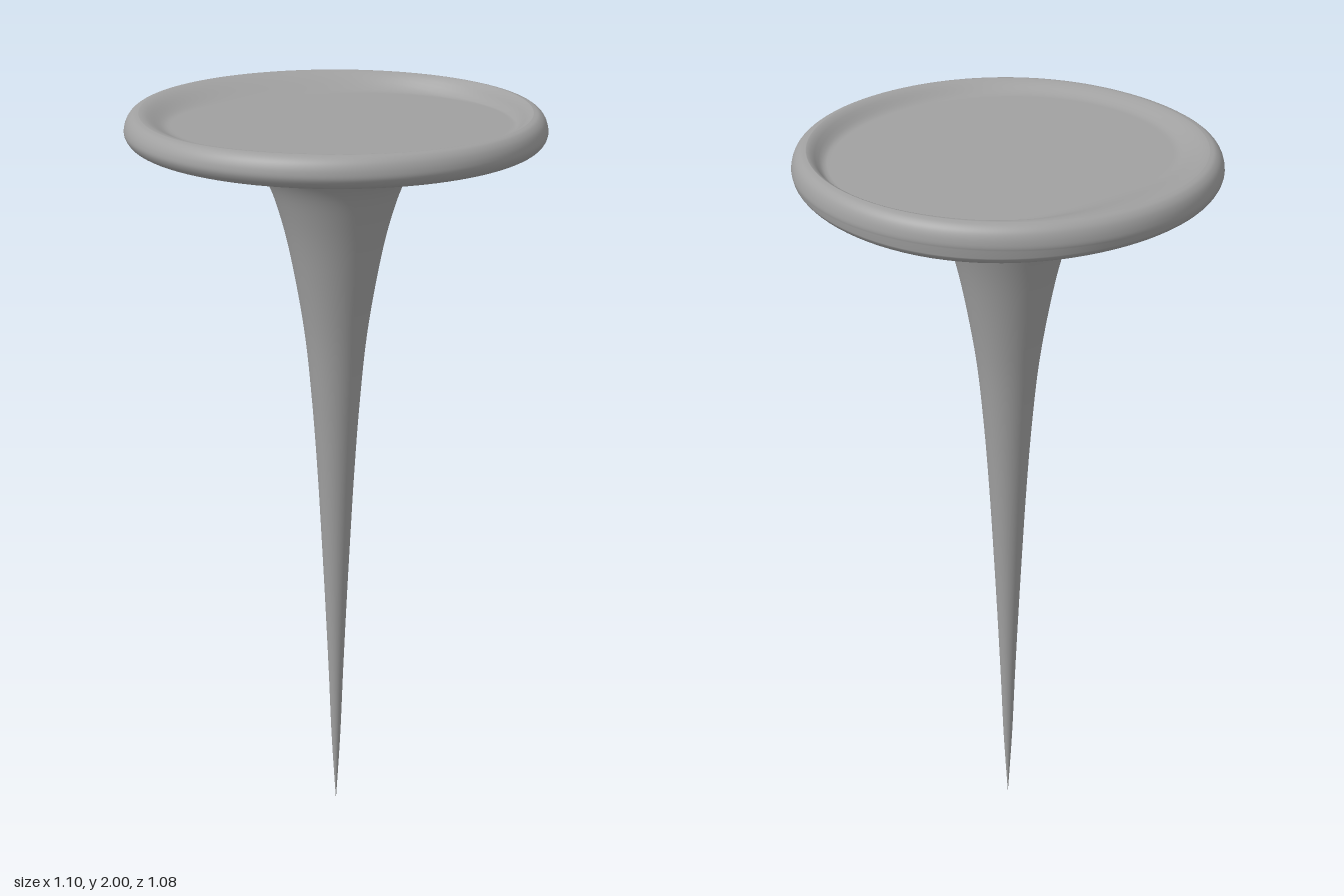
import * as THREE from 'three';
import { mergeVertices } from 'three/addons/utils/BufferGeometryUtils.js';

const smooth = (t) => THREE.MathUtils.smoothstep(t, 0, 1);
// Soft bump around a compass angle (radians, measured from +x towards +z)
const bump = (a, centre, sharpness) => Math.exp(sharpness * (Math.cos(a - centre) - 1));

function spikeAndHead() {
  // Tapering spike flaring into the underside and rounded edge of the head
  const flare = new THREE.SplineCurve([
    [0, 0], [0.012, 0.2], [0.02, 0.4], [0.029, 0.6], [0.039, 0.8], [0.05, 1],
    [0.064, 1.2], [0.084, 1.4], [0.118, 1.6], [0.15, 1.73], [0.185, 1.82], [0.235, 1.872],
    [0.31, 1.9], [0.41, 1.911], [0.5, 1.914], [0.53, 1.92], [0.546, 1.94],
    [0.546, 1.962], [0.538, 1.983], [0.524, 1.996], [0.508, 2],
  ].map(([x, y]) => new THREE.Vector2(x, y)));
  const profile = flare.getPoints(120);
  const firstTop = profile.length;
  const topRings = 50;
  for (let i = 1; i <= topRings; i++) {
    profile.push(new THREE.Vector2(0.508 * (1 - i / topRings), 2));
  }

  const lathe = new THREE.LatheGeometry(profile, 96);
  const pos = lathe.attributes.position;
  for (let i = 0; i < pos.count; i++) {
    const x = pos.getX(i), z = pos.getZ(i), r = Math.hypot(x, z);
    const a = Math.atan2(z, x);
    const edge = smooth((r - 0.3) / 0.2);
    let y = pos.getY(i);
    // Uneven rim: lower at the front right, sagging underneath at the back
    if (y > 1.94) {
      y -= edge * smooth((y - 1.94) / 0.05) * (0.009 * bump(a, 2.2, 5) + 0.005 * bump(a, 0.3, 3));
    } else if (y > 1.85) {
      y -= edge * 0.017 * bump(a, -1.6, 3);
    }
    // Dished top: steep wall at the back left, broad slope at the back right
    if (i % profile.length >= firstTop) {
      const width = 0.065 - 0.025 * bump(a, -0.8, 3) + 0.1 * bump(a, -2.5, 4);
      const floor = 1.964 - 0.01 * (x - z) + 0.003 * Math.sin(5 * x + 3 * z);
      y = THREE.MathUtils.lerp(y, floor, smooth((0.508 - r) / width));
    }
    pos.setY(i, y);
    pos.setZ(i, z * 0.99);
  }

  // Weld the seam so the shading is continuous
  lathe.deleteAttribute('normal');
  lathe.deleteAttribute('uv');
  const geometry = mergeVertices(lathe, 1e-5);
  geometry.computeVertexNormals();
  return geometry;
}

export function createModel() {
  const group = new THREE.Group();
  group.name = 'nail';
  const material = new THREE.MeshStandardMaterial({ color: 0xa0a0a0 });
  const body = new THREE.Mesh(spikeAndHead(), material);
  body.name = 'spikeAndHead';
  group.add(body);
  return group;
}
